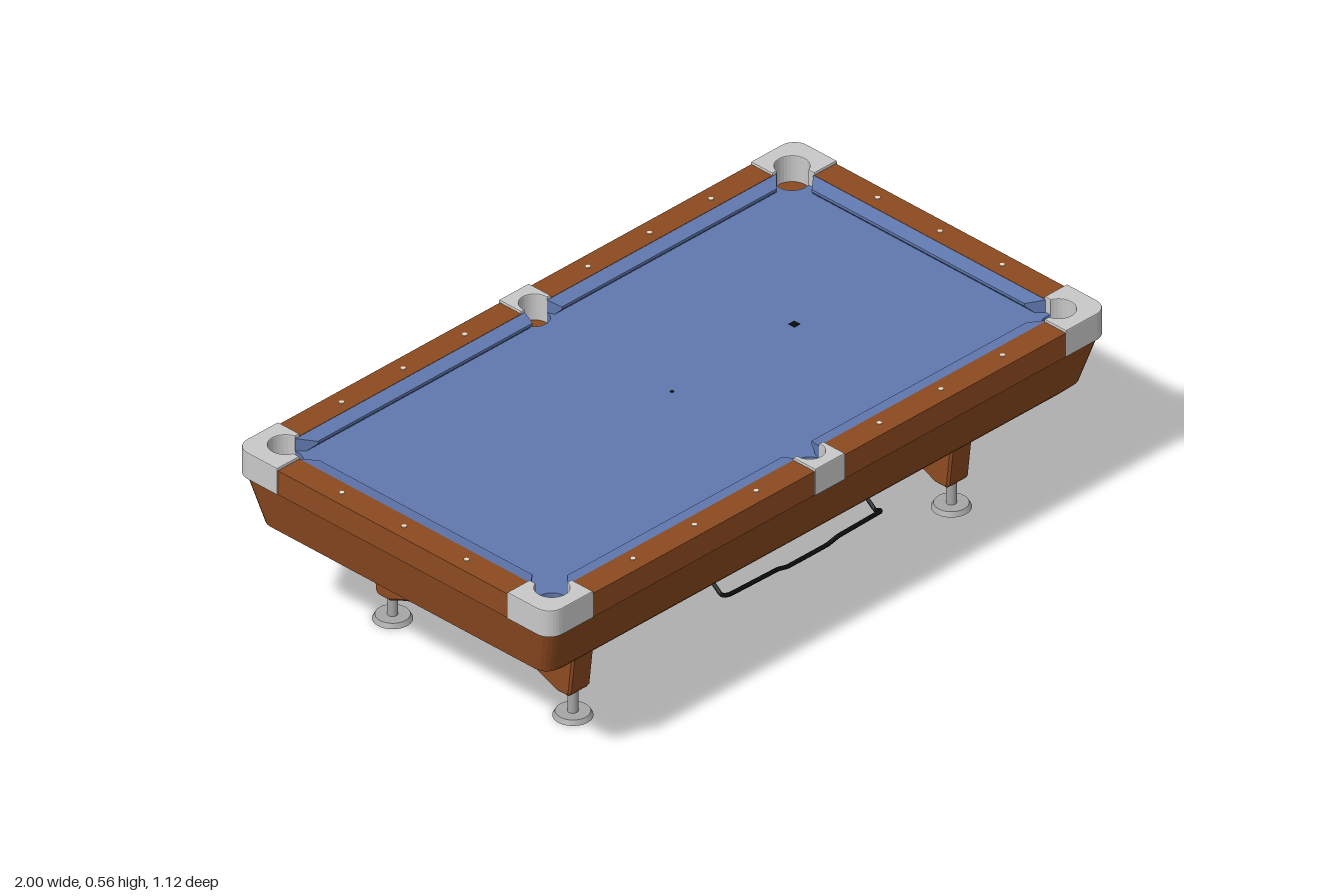
import * as THREE from 'three';

const mat = (name, color, side = THREE.FrontSide) => {
  const m = new THREE.MeshStandardMaterial({ color, side });
  m.name = name;
  return m;
};

export function createModel() {
  const wood = mat('brown wood', 0x8c4a20, THREE.DoubleSide);
  const cloth = mat('blue cloth', 0x6078ae);
  const casting = mat('light grey casting', 0xc8c8c8);
  const metal = mat('foot metal', 0xa6a6a6);
  const black = mat('black metal', 0x0c0c0c);
  const ivory = mat('ivory marker', 0xe6dcc8);

  const model = new THREE.Group();
  model.name = 'poolTable';
  const add = (name, geo, m, x = 0, y = 0, z = 0, parent = model) => {
    const mesh = new THREE.Mesh(geo, m);
    mesh.name = name;
    mesh.position.set(x, y, z);
    parent.add(mesh);
    return mesh;
  };
  // box given by its limits
  const block = (name, m, x0, x1, y0, y1, z0, z1, parent = model) =>
    add(name, new THREE.BoxGeometry(x1 - x0, y1 - y0, z1 - z0), m, (x0 + x1) / 2, (y0 + y1) / 2, (z0 + z1) / 2, parent);
  const tube = (name, pts, r, m = black) => {
    const curve = new THREE.CatmullRomCurve3(pts.map(p => new THREE.Vector3(...p)), false, 'catmullrom', 0.12);
    return add(name, new THREE.TubeGeometry(curve, pts.length * 8, r, 6), m);
  };
  const arc = (cx, cz, r, from, to, n = 16) => Array.from({ length: n + 1 }, (_, i) => {
    const a = THREE.MathUtils.degToRad(from + (to - from) * i / n);
    return [cx + r * Math.cos(a), cz + r * Math.sin(a)];
  });
  // plan outline (x, z) extruded downward from the given height
  const slab = (name, pts, top, depth, m, bevel = 0) => {
    const geo = new THREE.ExtrudeGeometry(new THREE.Shape(pts.map(p => new THREE.Vector2(p[0], p[1]))), {
      depth: depth - 2 * bevel, bevelEnabled: bevel > 0, bevelSize: bevel, bevelThickness: bevel,
      bevelOffset: -bevel, bevelSegments: 2,
    });
    geo.rotateX(Math.PI / 2);
    return add(name, geo, m, 0, top - bevel, 0);
  };

  // tapered apron body, lofted through rounded rectangles
  const ring = (hx, hz, y, r = 0.04) => [[1, 1, 0], [-1, 1, 90], [-1, -1, 180], [1, -1, 270]].flatMap(([sx, sz, a]) =>
    arc(sx * (hx - r), sz * (hz - r), r, a, a + 90, 5).map(([x, z]) => [x, y, z]));
  const rings = [ring(0.925, 0.488, 0.316), ring(0.962, 0.508, 0.337), ring(0.988, 0.55, 0.478)];
  const pos = [];
  const tri = (...p) => p.forEach(v => pos.push(...v));
  const n = rings[0].length;
  for (let i = 0; i < n; i++) {
    const j = (i + 1) % n;
    for (let k = 0; k < 2; k++) {
      const [a, b, c, d] = [rings[k][i], rings[k][j], rings[k + 1][j], rings[k + 1][i]];
      tri(a, c, b, a, d, c);
    }
    tri([0, 0.316, 0], rings[0][i], rings[0][j]);
    tri([0, 0.478, 0], rings[2][j], rings[2][i]);
  }
  const bodyGeo = new THREE.BufferGeometry();
  bodyGeo.setAttribute('position', new THREE.Float32BufferAttribute(pos, 3));
  bodyGeo.computeVertexNormals();
  add('apron', bodyGeo, wood);

  // cloth bed with pocket cut-outs
  const quarter = [...arc(0, 0.485, 0.04, -90, -7, 8), ...arc(0.905, 0.47, 0.045, 167, 289.5)];
  const flip = (pts, sx, sz) => pts.map(([x, z]) => [x * sx, z * sz]);
  const back = [...quarter].reverse();
  slab('bed', [...quarter, ...flip(back.slice(0, -1), 1, -1), ...flip(quarter, -1, -1).slice(1), ...flip(back.slice(0, -1), -1, 1)],
    0.51, 0.03, cloth);

  // castings around the pockets
  const corner = [[0.845, 0.48], ...arc(0.905, 0.47, 0.045, 167, -70.5, 20), [0.92, 0.406], [1, 0.406],
    ...arc(0.955, 0.511, 0.045, 0, 90, 8), [0.845, 0.556]];
  const middle = [[-0.053, 0.48], ...arc(0, 0.485, 0.04, 187, -7, 20), [0.053, 0.48], [0.053, 0.558], [-0.053, 0.558]];
  for (const s of [1, -1]) {
    slab('sideCasting', flip(middle, 1, s), 0.556, 0.08, casting, 0.003);
    for (const t of [1, -1]) slab('cornerCasting', flip(corner, s, t), 0.556, 0.08, casting, 0.003);
  }

  // cushion: undercut profile with mitred ends
  const cushion = (b0, b1, n0, n1, parent, angle, x, z) => {
    const profile = new THREE.Shape([[0, 0.509], [0.02, 0.509], [0.041, 0.531], [0.041, 0.539], [0, 0.547]]
      .map(p => new THREE.Vector2(...p)));
    const geo = new THREE.ExtrudeGeometry(profile, { depth: 1, bevelEnabled: false });
    const p = geo.attributes.position;
    for (let i = 0; i < p.count; i++) {
      const f = p.getX(i) / 0.041;
      p.setZ(i, p.getZ(i) > 0.5 ? b1 + (n1 - b1) * f : b0 + (n0 - b0) * f);
    }
    geo.computeVertexNormals();
    geo.rotateY(angle);
    add('cushion', geo, cloth, x, 0, z, parent);
  };

  // one half of the rails, turned round for the other half
  for (const turn of [0, Math.PI]) {
    const half = new THREE.Group();
    half.name = 'railHalf';
    half.rotation.y = turn;
    model.add(half);
    cushion(0.04, 0.86, 0.052, 0.82, half, Math.PI / 2, 0, 0.481);
    cushion(-0.86, -0.04, -0.82, -0.052, half, Math.PI / 2, 0, 0.481);
    cushion(-0.41, 0.41, -0.375, 0.375, half, Math.PI, 0.92, 0);
    block('endRail', wood, 0.92, 0.997, 0.477, 0.548, -0.406, 0.406, half);
    for (const s of [1, -1]) {
      block('longRail', wood, s > 0 ? 0.053 : -0.845, s > 0 ? 0.845 : -0.053, 0.477, 0.548, 0.48, 0.555, half);
    }
    const dot = new THREE.CylinderGeometry(0.007, 0.007, 0.003, 8);
    for (const d of [0.22, 0.44, 0.66]) {
      for (const s of [1, -1]) add('railMarker', dot, ivory, s * d, 0.5485, 0.514, half);
    }
    for (const d of [-0.22, 0, 0.22]) add('railMarker', dot, ivory, 0.957, 0.5485, d, half);
  }
  block('footSpot', black, 0.427, 0.447, 0.51, 0.512, -0.01, 0.01);
  add('centreSpot', new THREE.CylinderGeometry(0.005, 0.005, 0.002, 10), black, 0, 0.511, 0);

  // arched leg panels with levelling feet
  const leg = new THREE.Shape();
  leg.moveTo(-0.37, 0.32);
  leg.lineTo(-0.344, 0.09);
  leg.lineTo(-0.335, 0.078);
  leg.lineTo(-0.295, 0.078);
  leg.quadraticCurveTo(-0.16, 0.142, 0, 0.142);
  leg.quadraticCurveTo(0.16, 0.142, 0.295, 0.078);
  leg.lineTo(0.335, 0.078);
  leg.lineTo(0.344, 0.09);
  leg.lineTo(0.37, 0.32);
  const legGeo = new THREE.ExtrudeGeometry(leg, {
    depth: 0.064, bevelSize: 0.006, bevelThickness: 0.006, bevelOffset: -0.006, bevelSegments: 1, curveSegments: 14,
  });
  legGeo.translate(0, 0, -0.032).rotateY(Math.PI / 2);
  for (const s of [1, -1]) {
    add('legPanel', legGeo, wood, s * 0.676);
    for (const t of [1, -1]) {
      add('footStem', new THREE.CylinderGeometry(0.014, 0.014, 0.075, 16), metal, s * 0.676, 0.0475, t * 0.318);
      add('footPad', new THREE.CylinderGeometry(0.045, 0.052, 0.013, 28), metal, s * 0.676, 0.0065, t * 0.318);
    }
  }
  block('centreBeam', wood, -0.65, 0.65, 0.182, 0.317, -0.15, 0.15);

  // open ball box and rack holder on one end
  block('ballBoxFloor', wood, 0.71, 0.92, 0.19, 0.222, -0.163, 0.163);
  block('ballBoxTop', wood, 0.71, 0.92, 0.31, 0.318, -0.163, 0.163);
  block('ballBoxBack', wood, 0.71, 0.75, 0.222, 0.31, -0.15, 0.15);
  for (const s of [1, -1]) {
    block('ballBoxSide', wood, 0.71, 0.92, 0.222, 0.31, s > 0 ? 0.152 : -0.163, s > 0 ? 0.163 : -0.152);
  }
  tube('rackHolder', [[0.73, 0.2, 0.115], [0.75, 0.187, 0.117], [0.81, 0.147, 0.124], [0.915, 0.147, 0.12], [0.918, 0.147, 0.1],
    [0.918, 0.147, -0.1], [0.915, 0.147, -0.12], [0.81, 0.147, -0.124], [0.75, 0.187, -0.117], [0.73, 0.2, -0.115]], 0.005);

  // score panel lying on the sloping end of the apron
  const panel = new THREE.Group();
  panel.name = 'scorePanel';
  panel.position.set(0.971, 0.383, 0);
  panel.rotation.z = -0.183;
  model.add(panel);
  for (const s of [1, -1]) {
    block('panelEdge', metal, -0.002, 0.003, s * 0.046 - 0.0015, s * 0.046 + 0.0015, -0.245, 0.245, panel);
    block('panelEnd', metal, -0.002, 0.003, -0.046, 0.046, s * 0.245 - 0.0015, s * 0.245 + 0.0015, panel);
  }
  block('scoreBar', casting, -0.002, 0.005, -0.002, 0.007, -0.245, 0.245, panel);
  block('scoreCounter', casting, -0.002, 0.006, 0.007, 0.046, -0.022, 0.022, panel);
  block('panelSeam', black, -0.002, 0.002, -0.046, -0.002, -0.001, 0.001, panel);

  // cue racks, hooked bars and bowls under both long sides
  for (const s of [1, -1]) {
    for (const [z, y] of [[0.44, 0.297], [0.395, 0.285]]) {
      tube('cueRail', [[-0.87, 0.318, s * z], [-0.82, y, s * z], [0.82, y, s * z], [0.87, 0.318, s * z]], 0.004);
    }
    for (let i = -10; i <= 10; i++) {
      block('railClip', black, i * 0.08 - 0.005, i * 0.08 + 0.005, 0.293, 0.317, s * 0.436 - 0.004, s * 0.436 + 0.004);
    }
    for (const x of [-0.73, -0.48, 0.27, 0.73]) {
      tube('railHanger', [[x, 0.318, s * 0.44], [x, 0.28, s * 0.436], [x, 0.274, s * 0.4], [x, 0.318, s * 0.375]], 0.004);
    }
    tube('bridgeHolder', [[-0.275, 0.316, s * 0.37], [-0.275, 0.285, s * 0.375], [-0.275, 0.267, s * 0.4], [-0.275, 0.232, s * 0.445],
      [-0.27, 0.242, s * 0.47], [-0.1, 0.238, s * 0.47], [-0.06, 0.228, s * 0.468], [0.08, 0.228, s * 0.468], [0.12, 0.238, s * 0.47],
      [0.27, 0.242, s * 0.47], [0.275, 0.232, s * 0.445], [0.275, 0.267, s * 0.4], [0.275, 0.285, s * 0.375],
      [0.275, 0.316, s * 0.37]], 0.006);
    const bowl = add('bowl', new THREE.SphereGeometry(1, 24, 8, 0, Math.PI * 2, Math.PI / 2, Math.PI / 2), black, 0.515, 0.317, s * 0.395);
    bowl.scale.set(0.11, 0.062, 0.055);
  }
  return model;
}
